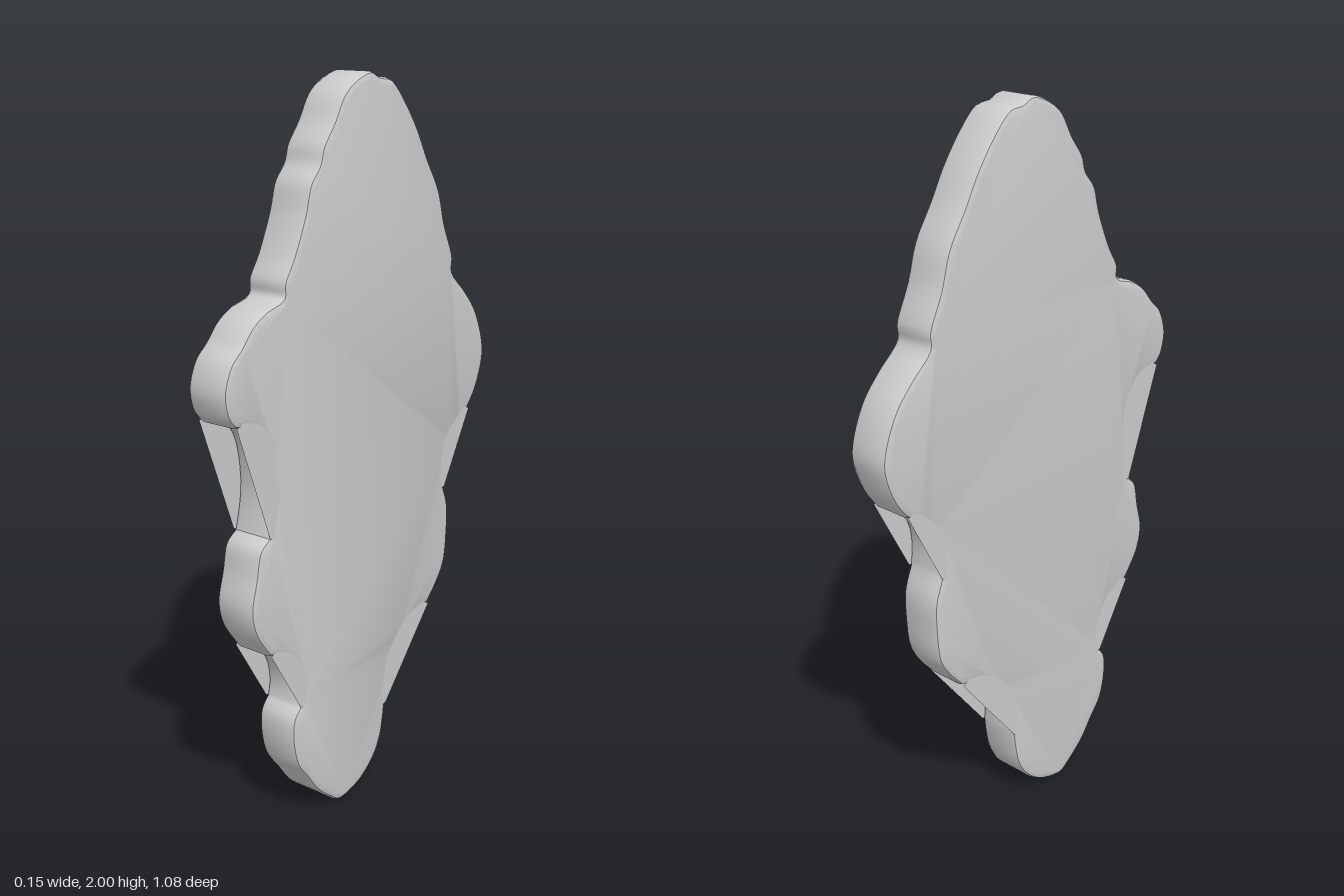
import * as THREE from 'three';
import { toCreasedNormals } from 'three/addons/utils/BufferGeometryUtils.js';

const THICKNESS = 0.127, BEVEL = 0.016;

// Lobed stretches of the silhouette as [z, y], from the back shoulder over the top and round
const lobes = [
  [[-.465, 1.03], [-.505, 1.085], [-.533, 1.165], [-.527, 1.23], [-.49, 1.315], [-.435, 1.38], [-.373, 1.44],
    [-.37, 1.49], [-.33, 1.58], [-.3, 1.675], [-.245, 1.765], [-.2, 1.845], [-.145, 1.92], [-.09, 1.975],
    [-.04, 1.985], [0, 2], [.06, 1.98], [.105, 1.945], [.14, 1.885], [.18, 1.83], [.195, 1.785], [.23, 1.74],
    [.25, 1.67], [.29, 1.575], [.325, 1.515], [.33, 1.475], [.39, 1.455], [.44, 1.425], [.48, 1.38],
    [.52, 1.34], [.542, 1.275], [.53, 1.215], [.505, 1.185]],
  [[.39, .87], [.425, .84], [.44, .77], [.458, .69], [.44, .615], [.39, .545]],
  [[.275, .355], [.3, .32], [.303, .26], [.285, .185], [.245, .13], [.2, .07], [.14, .02], [.1, 0], [.02, .02],
    [-.04, .065], [-.075, .12], [-.09, .185], [-.095, .23]],
  [[-.29, .475], [-.335, .525], [-.37, .585], [-.38, .68], [-.378, .755], [-.355, .82]],
];

// Undercut walls that join the end of each lobe to the start of the next
const recesses = [
  [[.43, 1.165], [.385, 1.1], [.37, .98]],
  [[.32, .515], [.28, .46], [.268, .4]],
  [[-.095, .3], [-.125, .385], [-.2, .455]],
  [[-.35, .89], [-.365, .95], [-.41, 1.0]],
];

const vec = ([z, y]) => new THREE.Vector2(z, y);
const smooth = (pts, n) => new THREE.SplineCurve(pts.map(vec)).getPoints(n);

// Turn a z-y drawing so its depth runs along x, then lean it very slightly
function stand(geometry) {
  geometry.rotateY(-Math.PI / 2);
  geometry.applyMatrix4(new THREE.Matrix4().set(
    1, 0.0085, -0.009, -0.0085,
    0, 1, 0, 0,
    0, 0, 1, 0,
    0, 0, 0, 1));
  return geometry;
}

export function createModel() {
  const group = new THREE.Group();
  const material = new THREE.MeshStandardMaterial({ color: 0xcccccc });
  const sheet = new THREE.MeshStandardMaterial({ color: 0xcccccc, side: THREE.DoubleSide });

  // Lobed slab with softened rims
  const outline = [];
  lobes.forEach((lobe, i) => {
    const next = lobes[(i + 1) % lobes.length];
    outline.push(...smooth(lobe, lobe.length * 4).slice(0, -1));
    outline.push(...smooth([lobe.at(-1), ...recesses[i], next[0]], 14).slice(0, -1));
  });
  const slab = new THREE.ExtrudeGeometry(new THREE.Shape(outline), {
    depth: THICKNESS - 2 * BEVEL, bevelEnabled: true, bevelThickness: BEVEL,
    bevelSize: BEVEL, bevelOffset: -BEVEL, bevelSegments: 2, steps: 1,
  });
  slab.translate(0, 0, BEVEL - THICKNESS / 2);
  const body = new THREE.Mesh(toCreasedNormals(stand(slab), 0.6), material);
  body.name = 'slab';
  group.add(body);

  // Thin flat webs that bridge each undercut on both faces
  lobes.forEach((lobe, i) => {
    const ends = [lobe.at(-1), lobes[(i + 1) % lobes.length][0]];
    const [upper, lower] = ends[0][1] > ends[1][1] ? ends : [ends[1], ends[0]];
    const inward = -0.15 * Math.sign(upper[0]);
    const web = new THREE.Shape([
      upper, [upper[0] + inward, upper[1] + 0.07],
      [lower[0] + inward, lower[1] - 0.05], lower,
    ].map(vec));
    for (const side of [-1, 1]) {
      const geometry = new THREE.ShapeGeometry(web);
      geometry.translate(0, 0, side * (THICKNESS / 2 - 0.0006));
      const mesh = new THREE.Mesh(stand(geometry), sheet);
      mesh.name = 'web';
      group.add(mesh);
    }
  });
  return group;
}
